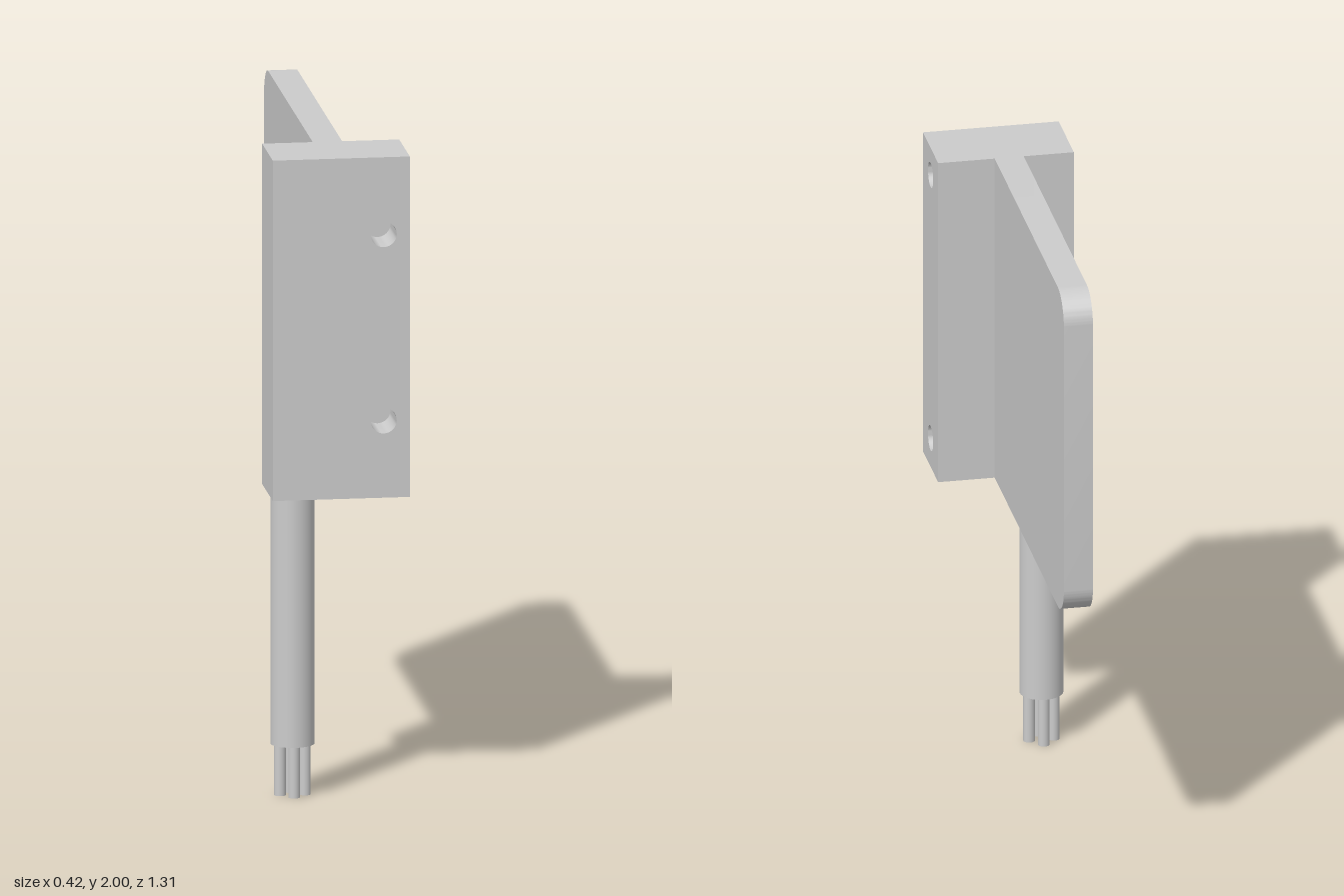
import * as THREE from 'three';
import { toCreasedNormals } from 'three/addons/utils/BufferGeometryUtils.js';

const material = new THREE.MeshStandardMaterial({ color: 0xcccccc });
const boreMaterial = new THREE.MeshStandardMaterial({ color: 0xcccccc, side: THREE.DoubleSide });

// Main dimensions
const BOTTOM = 0.94, TOP = 2, HEIGHT = TOP - BOTTOM, MID_Y = (TOP + BOTTOM) / 2;
const WIDTH = 0.42, FRONT = 0.655, BACK = 0.42;
const DEPTH = FRONT - BACK, MID_Z = (FRONT + BACK) / 2;
const HOLE_R = 0.04;

function add(parent, name, geometry, x = 0, y = 0, z = 0, mat = material) {
  const mesh = new THREE.Mesh(geometry, mat);
  mesh.name = name;
  mesh.position.set(x, y, z);
  parent.add(mesh);
  return mesh;
}

// Rectangular face looking along +z, with blind holes sunk into it
function face(name, w, h, holes = [], depth = 0, tip = 0) {
  const group = new THREE.Group();
  group.name = name;
  const shape = new THREE.Shape([
    new THREE.Vector2(-w / 2, -h / 2), new THREE.Vector2(w / 2, -h / 2),
    new THREE.Vector2(w / 2, h / 2), new THREE.Vector2(-w / 2, h / 2),
  ]);
  for (const [x, y] of holes) {
    shape.holes.push(new THREE.Path().absarc(x, y, HOLE_R, 0, Math.PI * 2, true));
    const bore = new THREE.LatheGeometry([
      new THREE.Vector2(0, -depth - tip), new THREE.Vector2(HOLE_R, -depth), new THREE.Vector2(HOLE_R, 0),
    ], 32).rotateX(Math.PI / 2);
    add(group, 'screwHole', toCreasedNormals(bore, 0.5), x, y, 0, boreMaterial);
  }
  add(group, name + 'Surface', new THREE.ShapeGeometry(shape, 16));
  return group;
}

// Mounting block, closed from six faces
function createBlock() {
  const block = new THREE.Group();
  block.name = 'mountingBlock';
  const place = (part, x, y, z, rx = 0, ry = 0) => {
    part.position.set(x, y, z);
    part.rotation.set(rx, ry, 0);
    block.add(part);
  };
  const q = Math.PI / 2;
  place(face('frontFace', WIDTH, HEIGHT, [[0.13, 1.76 - MID_Y], [0.13, 1.18 - MID_Y]], 0.14), 0, MID_Y, FRONT);
  place(face('leftFace', DEPTH, HEIGHT, [[0, 1.91 - MID_Y], [0, 1.035 - MID_Y]], 0.16, 0.024),
    WIDTH / 2, MID_Y, MID_Z, 0, q);
  place(face('rightFace', DEPTH, HEIGHT), -WIDTH / 2, MID_Y, MID_Z, 0, -q);
  place(face('backFace', WIDTH, HEIGHT), 0, MID_Y, BACK, 0, Math.PI);
  place(face('topFace', WIDTH, DEPTH), 0, TOP, MID_Z, -q);
  place(face('bottomFace', WIDTH, DEPTH), 0, BOTTOM, MID_Z, q);
  return block;
}

// Flat blade with its two rear corners rounded
function createBlade() {
  const rear = -0.655, r = 0.095;
  const shape = new THREE.Shape();
  shape.moveTo(BACK, BOTTOM);
  shape.lineTo(BACK, TOP);
  shape.lineTo(rear + r, TOP);
  shape.absarc(rear + r, TOP - r, r, Math.PI / 2, Math.PI, false);
  shape.lineTo(rear, BOTTOM + r);
  shape.absarc(rear + r, BOTTOM + r, r, Math.PI, Math.PI * 1.5, false);
  shape.closePath();
  const geometry = new THREE.ExtrudeGeometry(shape, { depth: 0.09, bevelEnabled: false, curveSegments: 16 });
  return toCreasedNormals(geometry.rotateY(-Math.PI / 2), 0.5);
}

export function createModel() {
  const model = new THREE.Group();
  model.name = 'sensor';
  model.add(createBlock());
  add(model, 'blade', createBlade(), 0.035);

  // Cable with four bare wires at its end
  const cable = new THREE.Group();
  cable.name = 'cable';
  cable.position.set(-0.135, 0, 0.548);
  model.add(cable);
  const sheathEnd = 0.16;
  add(cable, 'sheath', new THREE.CylinderGeometry(0.067, 0.067, BOTTOM - sheathEnd, 48), 0, (BOTTOM + sheathEnd) / 2);
  for (let i = 0; i < 4; i++) {
    const a = i * Math.PI / 2;
    add(cable, 'wire', new THREE.CylinderGeometry(0.018, 0.018, sheathEnd, 20),
      Math.cos(a) * 0.038, sheathEnd / 2, Math.sin(a) * 0.038);
  }
  return model;
}
